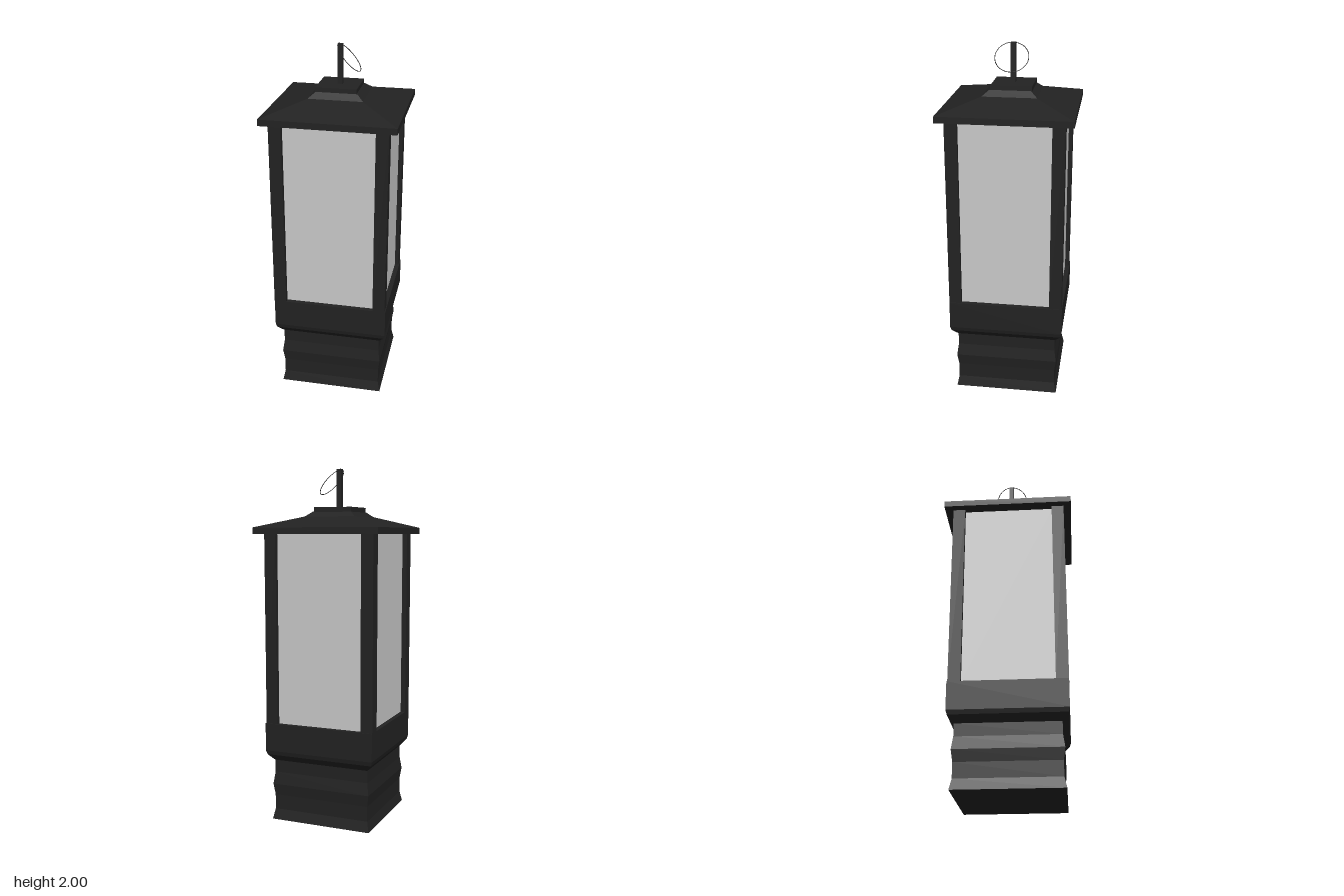
import * as THREE from 'three';

// Square solid from [halfWidth, y] points, bottom to top, with flat faces
function squareLathe(profile) {
  const points = profile.map(([h, y]) => new THREE.Vector2(h * Math.SQRT2, y));
  const geometry = new THREE.LatheGeometry(points, 4, Math.PI / 4).toNonIndexed();
  geometry.computeVertexNormals();
  return geometry;
}

export function createModel() {
  const model = new THREE.Group();
  model.name = 'lantern';
  const blackMetal = new THREE.MeshStandardMaterial({ color: 0x222222 });
  blackMetal.name = 'black metal';
  const paleGlass = new THREE.MeshStandardMaterial({ color: 0xcacaca });
  paleGlass.name = 'pale glass';

  function add(name, geometry, material, x = 0, y = 0, z = 0) {
    const mesh = new THREE.Mesh(geometry, material);
    mesh.name = name;
    mesh.position.set(x, y, z);
    model.add(mesh);
    return mesh;
  }

  // Waisted plinth widening into the lamp collar
  add('base', squareLathe([
    [0, 0], [0.296, 0], [0.283, 0.06], [0.283, 0.145], [0.292, 0.21],
    [0.282, 0.28], [0.282, 0.35], [0.29, 0.358], [0.315, 0.388],
    [0.322, 0.412], [0.322, 0.57], [0, 0.57],
  ]), blackMetal);

  // Corner posts
  const bottom = 0.57, top = 1.64;
  const height = top - bottom, middle = (top + bottom) / 2;
  for (const x of [-0.288, 0.283]) {
    for (const z of [-0.283, 0.288]) {
      add('cornerPost', new THREE.BoxGeometry(0.069, height, 0.069), blackMetal, x, middle, z);
    }
  }

  // Recessed glass panes on all four sides
  for (const side of [-1, 1]) {
    add('glassPane', new THREE.BoxGeometry(0.51, height, 0.008), paleGlass, -0.003, middle, side * 0.291);
    add('glassPane', new THREE.BoxGeometry(0.008, height, 0.51), paleGlass, side * 0.291, middle, 0.003);
  }

  // Hipped roof with a flat eave
  add('roof', squareLathe([
    [0, 1.637], [0.365, 1.637], [0.365, 1.672], [0.15, 1.733], [0.113, 1.762], [0, 1.762],
  ]), blackMetal);
  add('roofCap', new THREE.BoxGeometry(0.226, 0.03, 0.226), blackMetal, -0.005, 1.77, -0.005);

  // Finial and its tilted hanging ring
  add('finial', new THREE.BoxGeometry(0.028, 0.22, 0.028), blackMetal, -0.001, 1.89, -0.002);
  const ringGeometry = new THREE.TorusGeometry(0.0915, 0.002, 6, 48);
  ringGeometry.rotateY(Math.PI / 2);
  const ring = add('hangingRing', ringGeometry, blackMetal, 0.047, 1.928, 0);
  ring.rotation.z = 0.73;

  return model;
}
